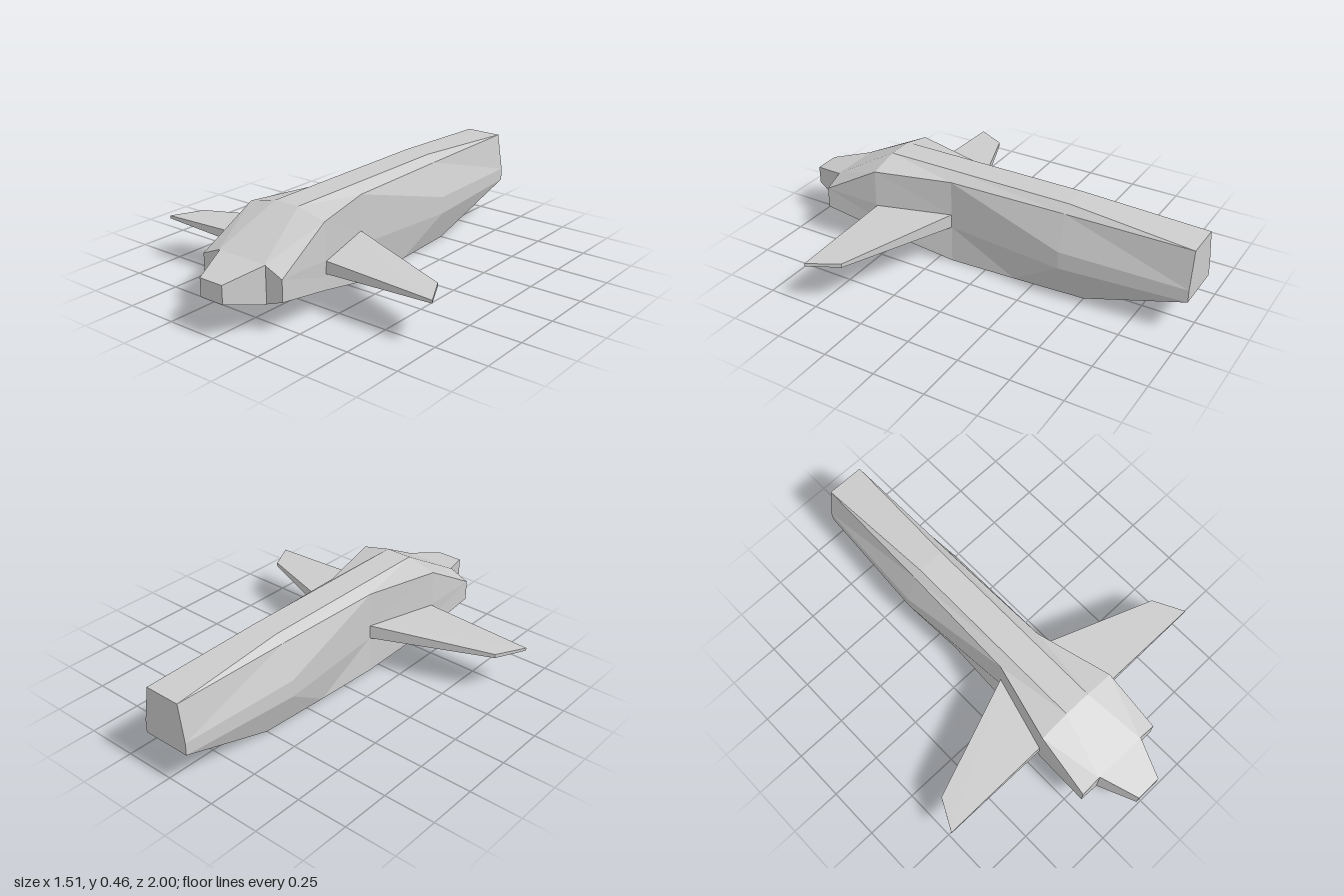
import * as THREE from 'three';
import { ConvexGeometry } from 'three/addons/geometries/ConvexGeometry.js';

const material = new THREE.MeshStandardMaterial({ color: 0xcccccc, flatShading: true });

// Half cross-sections, nose to tail; each runs ridge, shoulder, upper side, lower side, keel as [x, y, z]
const ring = (z, pts, keelZ = z) => pts.map(([x, y], i) => [x, y, i === 4 ? keelZ : z]);
const RINGS = [
  ring(0.82, [[0.13, 0.30], [0.225, 0.26], [0.225, 0.26], [0.225, 0.16], [0.13, 0.125]]),
  ring(0.54, [[0.065, 0.455], [0.21, 0.42], [0.215, 0.25], [0.21, 0.17], [0.21, 0.11]]),
  ring(0.18, [[0.065, 0.455], [0.115, 0.42], [0.115, 0.25], [0.115, 0.18], [0.12, 0]]),
  ring(-0.4, [[0.065, 0.455], [0.10, 0.42], [0.157, 0.255], [0.157, 0.17], [0.105, 0]], -0.15),
  ring(-0.4, [[0.065, 0.455], [0.10, 0.42], [0.157, 0.255], [0.157, 0.17], [0.085, 0]], -0.5),
  ring(-1, [[0.09, 0.42], [0.09, 0.42], [0.12, 0.24], [0.12, 0.18], [0.12, 0.18]]),
];

// Mirrored faceted loft through the half cross-sections, closed at both ends
function hullGeometry(rings) {
  const positions = [];
  const tri = (a, b, c) => {
    const [u, v, w] = [a, b, c].map((p) => new THREE.Vector3(...p));
    const area = v.clone().sub(u).cross(w.clone().sub(u)).length();
    if (area > 1e-7) positions.push(...a, ...b, ...c);
  };
  const quad = (a, b, c, d) => { tri(a, b, c); tri(a, c, d); };
  const m = ([x, y, z]) => [-x, y, z];
  const last = rings[0].length - 1;

  for (let i = 0; i < rings.length - 1; i++) {
    const F = rings[i], B = rings[i + 1];
    for (let k = 0; k < last; k++) {
      quad(F[k], F[k + 1], B[k + 1], B[k]);
      tri(m(F[k]), m(B[k + 1]), m(F[k + 1]));
      tri(m(F[k]), m(B[k]), m(B[k + 1]));
    }
    quad(m(F[0]), F[0], B[0], m(B[0])); // roof strip
    quad(F[last], m(F[last]), m(B[last]), B[last]); // belly strip
  }
  const front = rings[0], rear = rings[rings.length - 1];
  for (let k = 0; k < last; k++) {
    quad(m(front[k]), m(front[k + 1]), front[k + 1], front[k]);
    quad(rear[k], rear[k + 1], m(rear[k + 1]), m(rear[k]));
  }
  const geometry = new THREE.BufferGeometry();
  geometry.setAttribute('position', new THREE.Float32BufferAttribute(positions, 3));
  geometry.computeVertexNormals();
  return geometry;
}

const convex = (points) => new ConvexGeometry(points.map((p) => new THREE.Vector3(...p)));

// Tapered nose block
function noseGeometry() {
  const points = [];
  for (const s of [-1, 1]) {
    points.push([s * 0.13, 0.125, 0.82], [s * 0.13, 0.30, 0.82]);
    points.push([s * 0.0625, 0.17, 1], [s * 0.0625, 0.255, 1]);
  }
  return convex(points);
}

// Wing with straight front edge, thinning to the tip; corners are [x, z, low y, high y]
function wingGeometry(side) {
  const corners = [
    [0.11, 0.18, 0.18, 0.248],
    [0.11, 0.535, 0.18, 0.248],
    [0.68, 0.39, 0.205, 0.224],
    [0.755, 0.535, 0.207, 0.221],
  ];
  return convex(corners.flatMap(([x, z, lo, hi]) => [[side * x, lo, z], [side * x, hi, z]]));
}

export function createModel() {
  const group = new THREE.Group();
  const add = (name, geometry) => {
    const mesh = new THREE.Mesh(geometry, material);
    mesh.name = name;
    group.add(mesh);
    return mesh;
  };
  add('fuselage', hullGeometry(RINGS));
  add('nose', noseGeometry()).position.x = 0.005;
  add('leftWing', wingGeometry(1));
  add('rightWing', wingGeometry(-1));
  return group;
}
